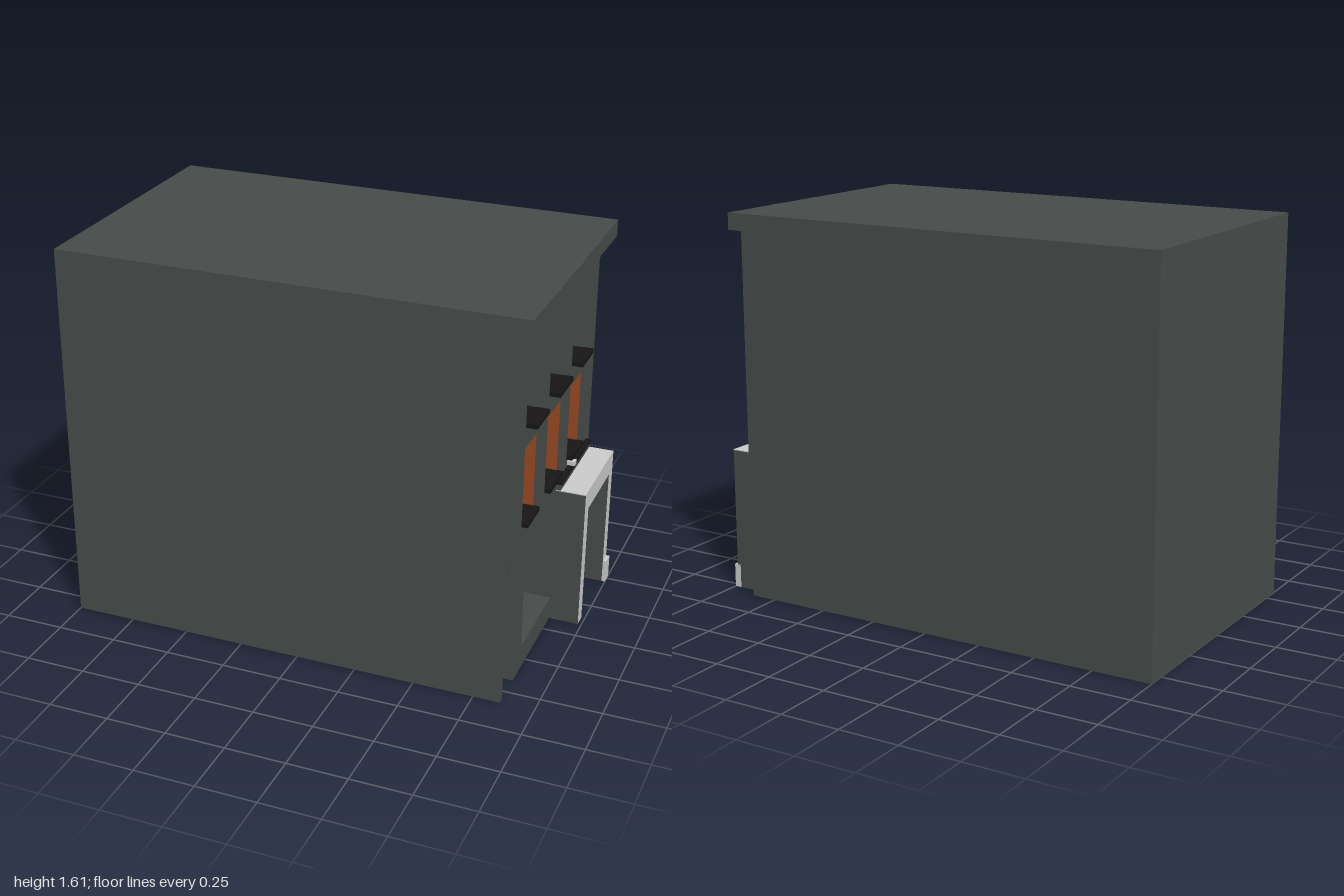
import * as THREE from 'three';

const mat = (color) => new THREE.MeshStandardMaterial({ color, side: THREE.DoubleSide });

export function createModel() {
  const model = new THREE.Group();
  const wall = mat(0x474c4a), stone = mat(0xcccccc), glass = mat(0x4b4949);
  const dark = mat(0x171515), wood = mat(0x9a4a22), red = mat(0x4c3239);
  const FACE = 0.86, DEEP = 0.24;

  // box given by its extents along each axis
  function block(name, x, y, z, material, parent = model) {
    const m = new THREE.Mesh(new THREE.BoxGeometry(x[1] - x[0], y[1] - y[0], z[1] - z[0]), material);
    m.position.set((x[0] + x[1]) / 2, (y[0] + y[1]) / 2, (z[0] + z[1]) / 2);
    m.name = name;
    parent.add(m);
    return m;
  }
  // points are [z, y]; the sheet is extruded towards +x from x0
  const path = (pts, Type = THREE.Shape) => new Type(pts.map(([z, y]) => new THREE.Vector2(-z, y)));
  const rect = (z, y) => [[z[0], y[0]], [z[1], y[0]], [z[1], y[1]], [z[0], y[1]]];
  function slab(name, shape, x0, depth, material) {
    const g = new THREE.ExtrudeGeometry(shape, { depth, bevelEnabled: false });
    g.rotateY(Math.PI / 2);
    const m = new THREE.Mesh(g, material);
    m.position.x = x0;
    m.name = name;
    model.add(m);
  }

  // main volume and the pierced street wall
  block('buildingBody', [-1, FACE - DEEP], [0, 1.61], [-0.58, 0.58], wall);
  const facade = path([[0.58, 0], [0.55, 0], [0.55, 0.64], [0.415, 0.64], [0.415, 0],
    [-0.58, 0], [-0.58, 1.61], [0.58, 1.61]]);
  const shopZ = [-0.09, 0.315], shopY = [0.1, 0.64];
  facade.holes.push(path(rect(shopZ, shopY), THREE.Path));

  // windows: two rows of three
  const columns = [[0.235, 0.39], [-0.09, 0.087], [-0.39, -0.227]];
  const rows = [
    { y: [0.68, 1.01], sill: 0.885, farJamb: wood },
    { y: [1.1, 1.435], sill: 0.905, farJamb: wall },
  ];
  const back = FACE - 0.09, t = 0.003;
  for (const { y, sill, farJamb } of rows) {
    for (const z of columns) {
      facade.holes.push(path(rect(z, y), THREE.Path));
      const w = new THREE.Group();
      w.name = 'window';
      model.add(w);
      const zc = (z[0] + z[1]) / 2, yc = (y[0] + y[1]) / 2 + 0.003;
      const reveal = [back, FACE - 0.002];
      block('windowPane', [back - 0.01, back], y, z, glass, w);
      block('windowHead', reveal, [y[1] - t, y[1]], z, wood, w);
      block('leftJamb', reveal, y, [z[1] - t, z[1]], wood, w);
      block('rightJamb', reveal, y, [z[0], z[0] + t], farJamb, w);
      block('verticalBar', [back, back + 0.025], y, [zc - 0.006, zc + 0.006], dark, w);
      block('horizontalBar', [back, back + 0.035], [yc - 0.007, yc + 0.007], z, dark, w);
      block('windowSill', [back, sill], [y[0], y[0] + 0.018], z, dark, w);
    }
  }
  slab('facade', facade, FACE - DEEP, DEEP, wall);

  // cornice with shallow raised panels
  block('cornice', [FACE, 0.925], [1.54, 1.61], [-0.58, 0.58], wall);
  for (const z of [[0.235, 0.315], [-0.09, 0.01], [-0.31, -0.235]]) {
    block('cornicePanel', [0.92, 0.928], [1.54, 1.61], z, wall);
    block('friezePanel', [FACE - 0.01, FACE + 0.003], [1.47, 1.54], z, wall);
  }

  // recessed shop window
  block('shopWindow', [FACE - DEEP, FACE - DEEP + 0.01], shopY, shopZ, stone);
  block('shopMullion', [FACE - DEEP, FACE - DEEP + 0.016], shopY, [0.081, 0.087], wall);

  // side door under a shallow transom
  block('sideDoor', [FACE - DEEP, FACE - 0.1], [0, 0.52], [0.415, 0.55], red);
  block('doorTransom', [FACE - DEEP, FACE - 0.025], [0.525, 0.64], [0.415, 0.55], wall);
  block('doorHead', [FACE - 0.1, FACE - 0.025], [0.52, 0.525], [0.415, 0.55], red);

  // projecting entrance portal: pale front, dark sides and reveals
  const portal = path([[-0.09, 0], [-0.145, 0], [-0.145, 0.52], [-0.47, 0.52], [-0.47, 0],
    [-0.525, 0], [-0.525, 0.603], [-0.09, 0.603]]);
  slab('entrancePortal', portal, FACE, 0.125, [stone, wall]);
  block('portalTop', [FACE, 0.985], [0.603, 0.607], [-0.525, -0.09], stone);
  block('entranceDoor', [FACE - 0.01, FACE + 0.006], [0, 0.52], [-0.47, -0.145], stone);
  block('portalPlinth', [0.97, 1], [0, 0.1], [-0.525, -0.47], stone);

  // ledge and small lamp strip above the portal
  block('portalLedge', [FACE, 0.88], [0.607, 0.632], [-0.525, -0.09], wall);
  block('portalLedgeCap', [FACE, 0.885], [0.632, 0.643], [-0.525, -0.09], dark);
  block('lampStrip', [FACE, 0.893], [0.65, 0.668], [-0.27, -0.24], stone);

  return model;
}
